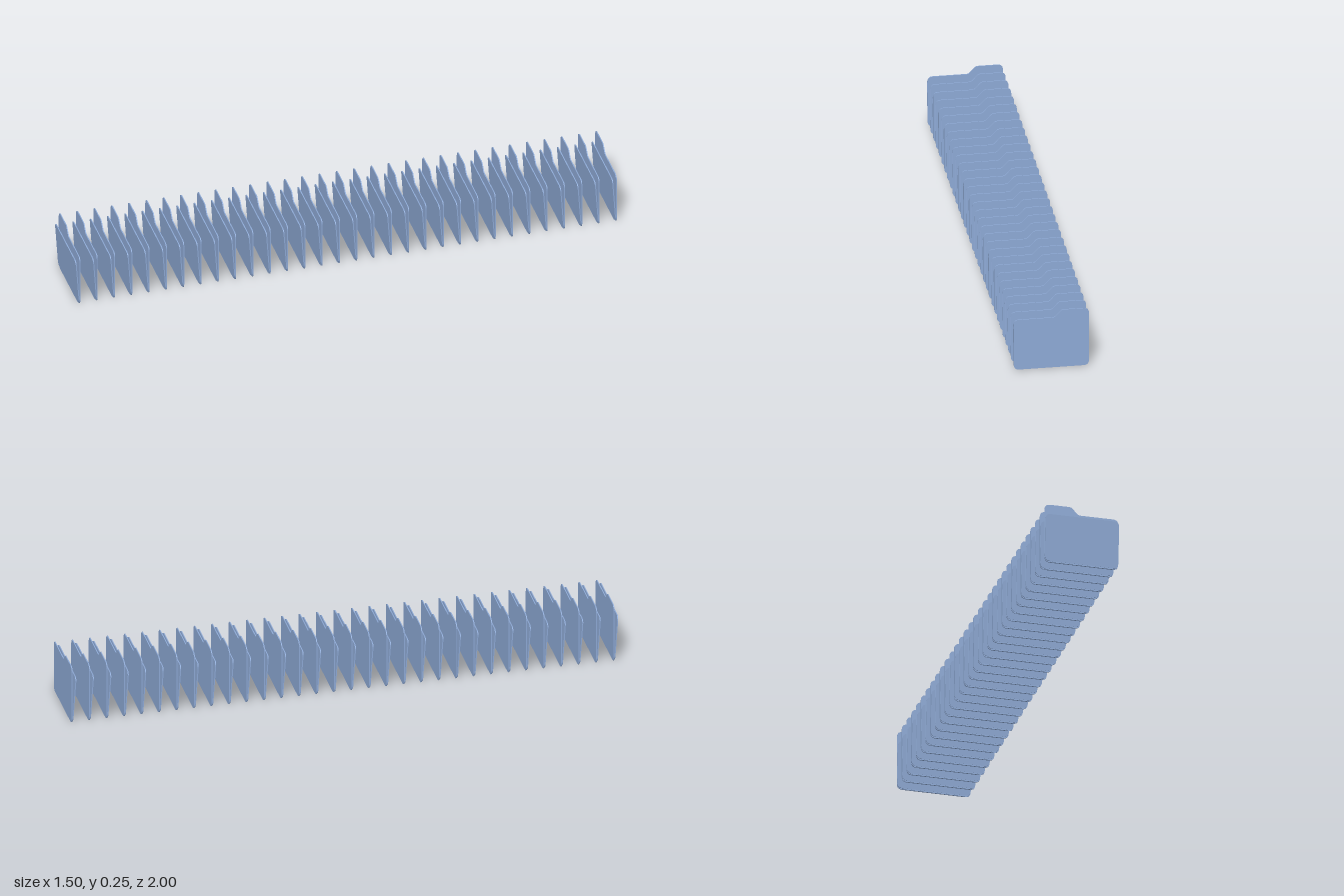
import * as THREE from 'three';

const COUNT = 32, WIDTH = 0.3, LEAF = 0.004;

// Closed outline from [x, y, cornerRadius] points
function roundedShape(points) {
  const shape = new THREE.Shape();
  const n = points.length;
  points.forEach(([x, y, r], i) => {
    const corner = new THREE.Vector2(x, y);
    const toward = ([px, py]) => new THREE.Vector2(px, py).sub(corner).setLength(r).add(corner);
    const a = toward(points[(i + n - 1) % n]);
    const b = toward(points[(i + 1) % n]);
    if (i === 0) shape.moveTo(a.x, a.y);
    else shape.lineTo(a.x, a.y);
    shape.quadraticCurveTo(x, y, b.x, b.y);
  });
  shape.closePath();
  return shape;
}

function leafGeometry(points) {
  return new THREE.ExtrudeGeometry(roundedShape(points), { depth: LEAF, bevelEnabled: false, curveSegments: 5 });
}

export function createModel() {
  const model = new THREE.Group();
  model.name = 'folderRow';
  const blue = new THREE.MeshStandardMaterial({ color: 0x8eaad6 });
  blue.name = 'folderBlue';
  const h = WIDTH / 2;

  // Upright back leaf with a raised tab on one side
  const back = leafGeometry([
    [-h, 0, 0.022], [h, 0, 0.022], [h, 0.218, 0.02],
    [-0.012, 0.218, 0.008], [-0.042, 0.25, 0.008], [-h, 0.25, 0.022],
  ]);
  back.translate(0, 0, -0.01);

  // Shorter front leaf, leaning open at the top
  const front = leafGeometry([[-h, 0, 0.022], [h, 0, 0.022], [h, 0.198, 0.02], [-h, 0.198, 0.02]]);
  front.rotateX(0.068);
  front.translate(0, 0.005, -0.0075);

  // Fold joining the two leaves
  const fold = new THREE.BoxGeometry(WIDTH - 0.045, 0.006, 0.006);
  fold.translate(0, 0.003, -0.007);

  // Row of folders, each facing along the row
  const start = new THREE.Vector3(-0.62, 0, 0.907);
  const end = start.clone().negate();
  const turn = Math.atan2(start.x, start.z);
  for (let i = 0; i < COUNT; i++) {
    const folder = new THREE.Group();
    folder.name = `folder${i + 1}`;
    for (const [name, geometry] of [['backLeaf', back], ['frontLeaf', front], ['fold', fold]]) {
      const mesh = new THREE.Mesh(geometry, blue);
      mesh.name = name;
      folder.add(mesh);
    }
    folder.position.lerpVectors(start, end, i / (COUNT - 1));
    folder.rotation.y = turn;
    model.add(folder);
  }
  return model;
}
